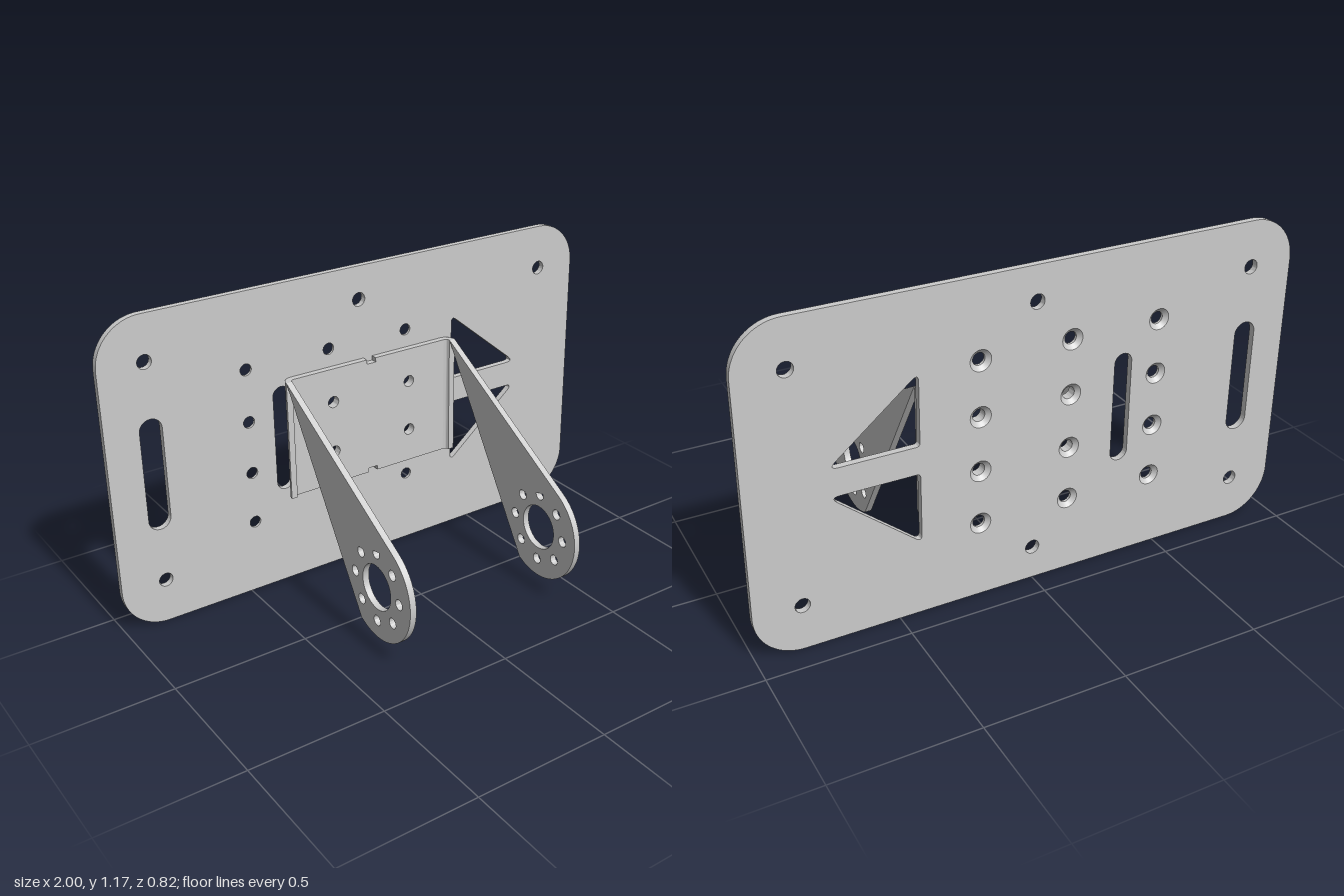
import * as THREE from 'three';
import { toCreasedNormals } from 'three/addons/utils/BufferGeometryUtils.js';

const material = new THREE.MeshStandardMaterial({ color: 0xcccccc });

const T = 0.024;                       // sheet thickness
const BACK = -0.41, FACE = BACK + T;   // plate back and front in z
const LEFT = 0.4, RIGHT = -0.333;      // outer faces of the bracket in x
const BEND = 0.04;                     // outer bend radius
const Y0 = 0.353, Y1 = 0.813;          // bracket web height range
const BOLT_X = [-0.467, -0.133, 0.2], BOLT_Y = [0.283, 0.483, 0.683, 0.883];
const BOLT_R = 0.022, SINK_R = 0.038, SINK_DEPTH = 0.014;

function extrude(shape, depth) {
  const g = new THREE.ExtrudeGeometry(shape, { depth, bevelEnabled: false, curveSegments: 20 });
  return toCreasedNormals(g, 0.5);
}

function addMesh(parent, name, geometry) {
  const mesh = new THREE.Mesh(geometry, material);
  mesh.name = name;
  parent.add(mesh);
  return mesh;
}

function circle(x, y, r) {
  return new THREE.Path().absarc(x, y, r, 0, Math.PI * 2, false);
}

function roundRect(path, x0, y0, x1, y1, r) {
  const q = Math.PI / 2;
  path.absarc(x1 - r, y1 - r, r, 0, q, false);
  path.absarc(x0 + r, y1 - r, r, q, 2 * q, false);
  path.absarc(x0 + r, y0 + r, r, 2 * q, 3 * q, false);
  path.absarc(x1 - r, y0 + r, r, 3 * q, 4 * q, false);
  path.closePath();
  return path;
}

// Polygon whose corners are eased by a tangent curve
function softPolygon(corners, r) {
  const path = new THREE.Path();
  const pts = corners.map(([x, y]) => new THREE.Vector2(x, y));
  pts.forEach((p, i) => {
    const a = pts[(i + pts.length - 1) % pts.length].clone().sub(p).normalize();
    const b = pts[(i + 1) % pts.length].clone().sub(p).normalize();
    const cut = r / Math.tan(Math.acos(a.dot(b)) / 2);
    const s = p.clone().addScaledVector(a, cut), e = p.clone().addScaledVector(b, cut);
    if (i === 0) path.moveTo(s.x, s.y); else path.lineTo(s.x, s.y);
    path.quadraticCurveTo(p.x, p.y, e.x, e.y);
  });
  path.closePath();
  return path;
}

// Plate outline with all cut-outs; boltR is the radius of the bolt grid holes
function plateShape(boltR) {
  const shape = roundRect(new THREE.Shape(), -1, 0, 1, 1.167, 0.167);
  for (const x of [-0.833, 0.833]) for (const y of [0.167, 1.0]) shape.holes.push(circle(x, y, 0.026));
  for (const y of [0.125, 1.042]) shape.holes.push(circle(0, y, 0.026));
  for (const x of BOLT_X) for (const y of BOLT_Y) shape.holes.push(circle(x, y, boltR));
  shape.holes.push(roundRect(new THREE.Path(), -0.875, 0.373, -0.792, 0.794, 0.0415));
  shape.holes.push(roundRect(new THREE.Path(), -0.367, 0.38, -0.3, 0.787, 0.0335));
  const mid = 0.583;
  for (const s of [1, -1]) {
    shape.holes.push(softPolygon(
      [[0.414, mid + s * 0.05], [0.725, mid + s * 0.05], [0.414, mid + s * 0.307]], 0.014));
  }
  return shape;
}

function buildPlate() {
  const plate = new THREE.Group();
  plate.name = 'mountingPlate';
  // Back layer carries the wide ends of the countersinks
  addMesh(plate, 'plateFrontLayer', extrude(plateShape(BOLT_R), T - SINK_DEPTH)).position.z = BACK + SINK_DEPTH;
  addMesh(plate, 'plateBackLayer', extrude(plateShape(SINK_R), SINK_DEPTH)).position.z = BACK;
  // Cone seen from inside, wide end toward the back
  const cone = new THREE.CylinderGeometry(BOLT_R, SINK_R, SINK_DEPTH, 40, 1, true).rotateX(Math.PI / 2);
  const coneMaterial = material.clone();
  coneMaterial.side = THREE.DoubleSide;
  for (const x of BOLT_X) for (const y of BOLT_Y) {
    const sink = addMesh(plate, 'countersink', cone);
    sink.material = coneMaterial;
    sink.position.set(x, y, BACK + SINK_DEPTH / 2);
  }
  return plate;
}

// Side arm drawn in (z, y): tapered strap ending in a round hub
function armGeometry() {
  const cz = 0.21, cy = 0.26, r = 0.2, z0 = FACE + BEND;
  const a = Math.PI / 3;
  const shape = new THREE.Shape();
  shape.moveTo(z0, Y0);
  shape.absarc(cz, cy, r, a - Math.PI, a, false);
  shape.lineTo(z0, Y1);
  shape.closePath();
  shape.holes.push(circle(cz, cy, 0.085));
  for (let i = 0; i < 8; i++) {
    const t = i * Math.PI / 4;
    shape.holes.push(circle(cz + 0.133 * Math.cos(t), cy + 0.133 * Math.sin(t), 0.0195));
  }
  return extrude(shape, T).rotateY(-Math.PI / 2);
}

// Quarter ring between web and arm, extruded upward
function bendGeometry(start) {
  const shape = new THREE.Shape();
  shape.absarc(0, 0, BEND, start, start + Math.PI / 2, false);
  shape.absarc(0, 0, BEND - T, start + Math.PI / 2, start, true);
  shape.closePath();
  return extrude(shape, Y1 - Y0).rotateX(-Math.PI / 2);
}

function webGeometry() {
  const x0 = RIGHT + BEND, x1 = LEFT - BEND, c = (x0 + x1) / 2, w = 0.019, d = 0.017;
  const shape = new THREE.Shape([
    [x0, Y0], [c - w, Y0], [c - w, Y0 + d], [c + w, Y0 + d], [c + w, Y0], [x1, Y0],
    [x1, Y1], [c + w, Y1], [c + w, Y1 - d], [c - w, Y1 - d], [c - w, Y1], [x0, Y1],
  ].map(([x, y]) => new THREE.Vector2(x, y)));
  for (const x of BOLT_X.slice(1)) for (const y of BOLT_Y.slice(1, 3)) shape.holes.push(circle(x, y, BOLT_R));
  return extrude(shape, T);
}

function buildBracket() {
  const bracket = new THREE.Group();
  bracket.name = 'bracket';
  addMesh(bracket, 'bracketWeb', webGeometry()).position.z = FACE;
  const arm = armGeometry();
  addMesh(bracket, 'leftArm', arm).position.x = LEFT;
  addMesh(bracket, 'rightArm', arm).position.x = RIGHT + T;
  addMesh(bracket, 'leftBend', bendGeometry(0)).position.set(LEFT - BEND, Y0, FACE + BEND);
  addMesh(bracket, 'rightBend', bendGeometry(Math.PI / 2)).position.set(RIGHT + BEND, Y0, FACE + BEND);
  return bracket;
}

export function createModel() {
  const model = new THREE.Group();
  model.name = 'plateWithBracket';
  model.add(buildPlate(), buildBracket());
  return model;
}
